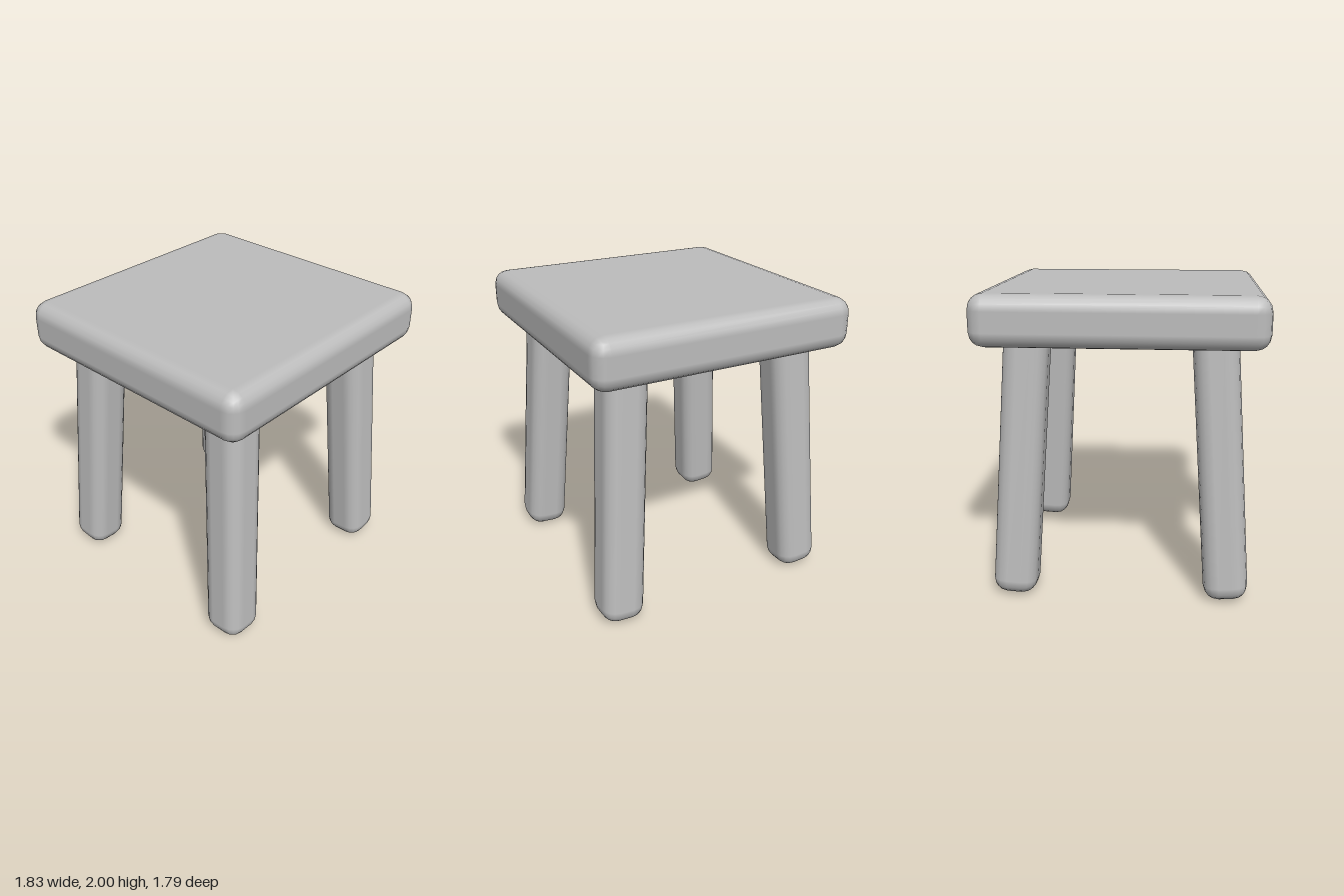
import * as THREE from 'three';
import { RoundedBoxGeometry } from 'three/addons/geometries/RoundedBoxGeometry.js';

export function createModel() {
  const stool = new THREE.Group();
  stool.name = 'stool';
  const grey = new THREE.MeshStandardMaterial({ color: 0xbcbcbc });
  grey.name = 'plain grey';

  // Seat slab with softly rounded edges
  const seat = new THREE.Mesh(new RoundedBoxGeometry(1.83, 0.33, 1.79, 2, 0.1), grey);
  seat.name = 'seat';
  seat.position.y = 1.835;
  stool.add(seat);

  // Four splayed legs, their tops sunk into the seat
  const length = 1.8;
  const legGeometry = new RoundedBoxGeometry(0.29, length, 0.29, 2, 0.1);
  legGeometry.translate(0, length / 2, 0);
  const up = new THREE.Vector3(0, 1, 0);
  for (const sx of [-1, 1]) {
    for (const sz of [-1, 1]) {
      const leg = new THREE.Mesh(legGeometry, grey);
      leg.name = (sz > 0 ? 'front' : 'back') + (sx > 0 ? 'Left' : 'Right') + 'Leg';
      const axis = new THREE.Vector3(-sx * 0.064, 1, -sz * 0.064).normalize();
      leg.quaternion.setFromUnitVectors(up, axis);
      leg.position.set(sx * 0.7, 0.006, sz * 0.7);
      stool.add(leg);
    }
  }
  return stool;
}
